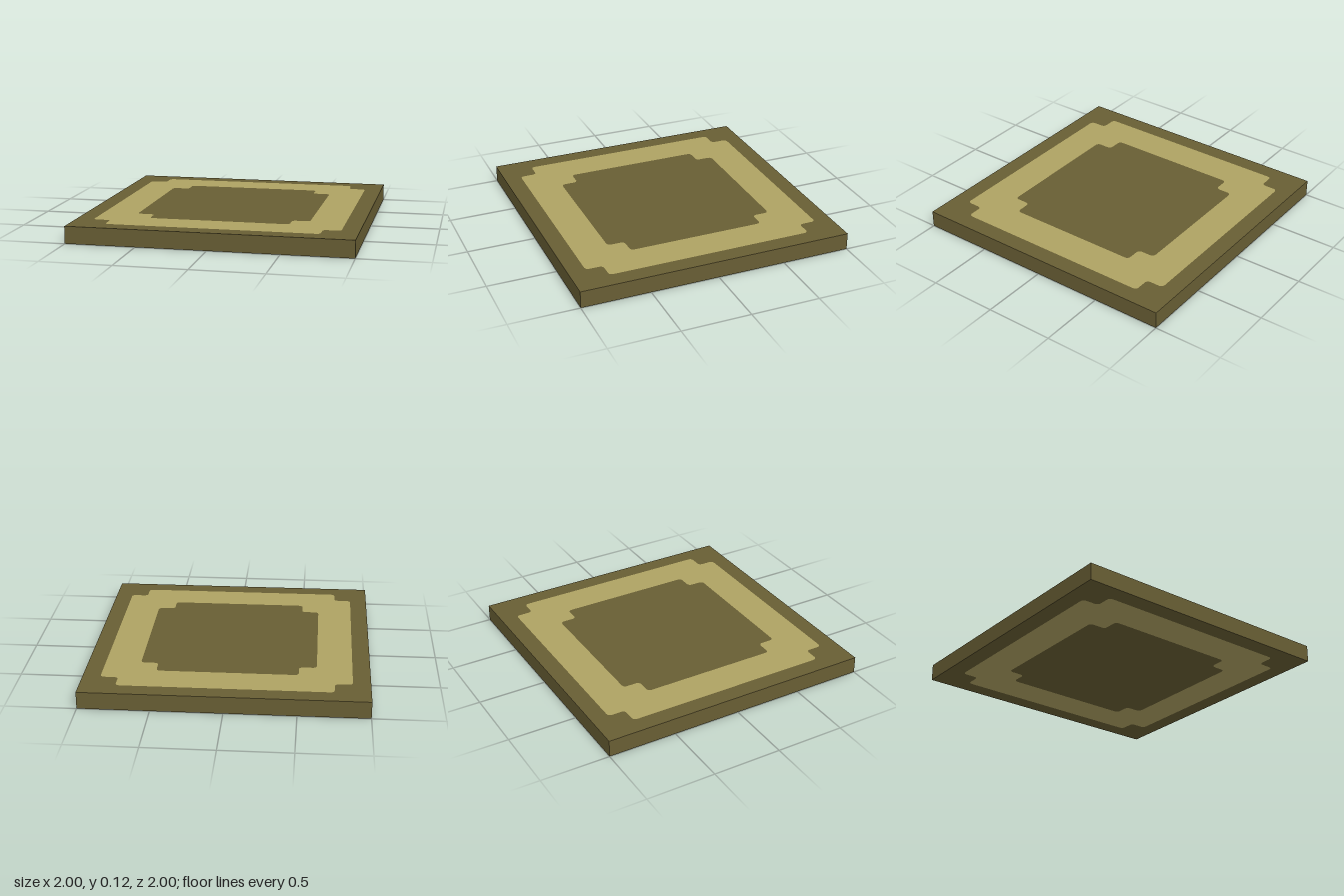
import * as THREE from 'three';

const HEIGHT = 0.125;
const LIFT = 0.001; // how far the painted band sits proud of the slab

// Square outline with a notch cut from each corner and every corner softened
function notchedSquare(path, half, notch, radius) {
  const a = half, b = half - notch;
  const corners = [];
  for (let i = 0; i < 4; i++) {
    const turn = i * Math.PI / 2;
    for (const [x, y] of [[a, -b], [a, b], [b, b]]) {
      corners.push(new THREE.Vector2(x, y).rotateAround(new THREE.Vector2(), turn));
    }
  }
  const n = corners.length;
  const toward = (p, q) => p.clone().add(q.clone().sub(p).setLength(radius));
  corners.forEach((p, i) => {
    const start = toward(p, corners[(i + n - 1) % n]);
    const end = toward(p, corners[(i + 1) % n]);
    if (i === 0) path.moveTo(start.x, start.y);
    else path.lineTo(start.x, start.y);
    path.quadraticCurveTo(p.x, p.y, end.x, end.y);
  });
  path.closePath();
  return path;
}

export function createModel() {
  const darkOlive = new THREE.MeshStandardMaterial({ name: 'dark olive', color: 0x685e34 });
  const paleKhaki = new THREE.MeshStandardMaterial({ name: 'pale khaki', color: 0xaea262 });

  const model = new THREE.Group();
  model.name = 'floorTile';

  // Slab
  const slab = new THREE.Mesh(new THREE.BoxGeometry(2, HEIGHT - 2 * LIFT, 2), darkOlive);
  slab.name = 'slab';
  slab.position.y = HEIGHT / 2;
  model.add(slab);

  // Painted band on the top and underside
  const band = notchedSquare(new THREE.Shape(), 0.875, 0.125, 0.032);
  band.holes.push(notchedSquare(new THREE.Path(), 0.625, 0.125, 0.032));
  const bandGeometry = new THREE.ShapeGeometry(band, 6);
  for (const [name, y, tilt] of [['topBand', HEIGHT, -1], ['bottomBand', 0, 1]]) {
    const mesh = new THREE.Mesh(bandGeometry, paleKhaki);
    mesh.name = name;
    mesh.position.y = y;
    mesh.rotation.x = tilt * Math.PI / 2;
    model.add(mesh);
  }

  return model;
}
